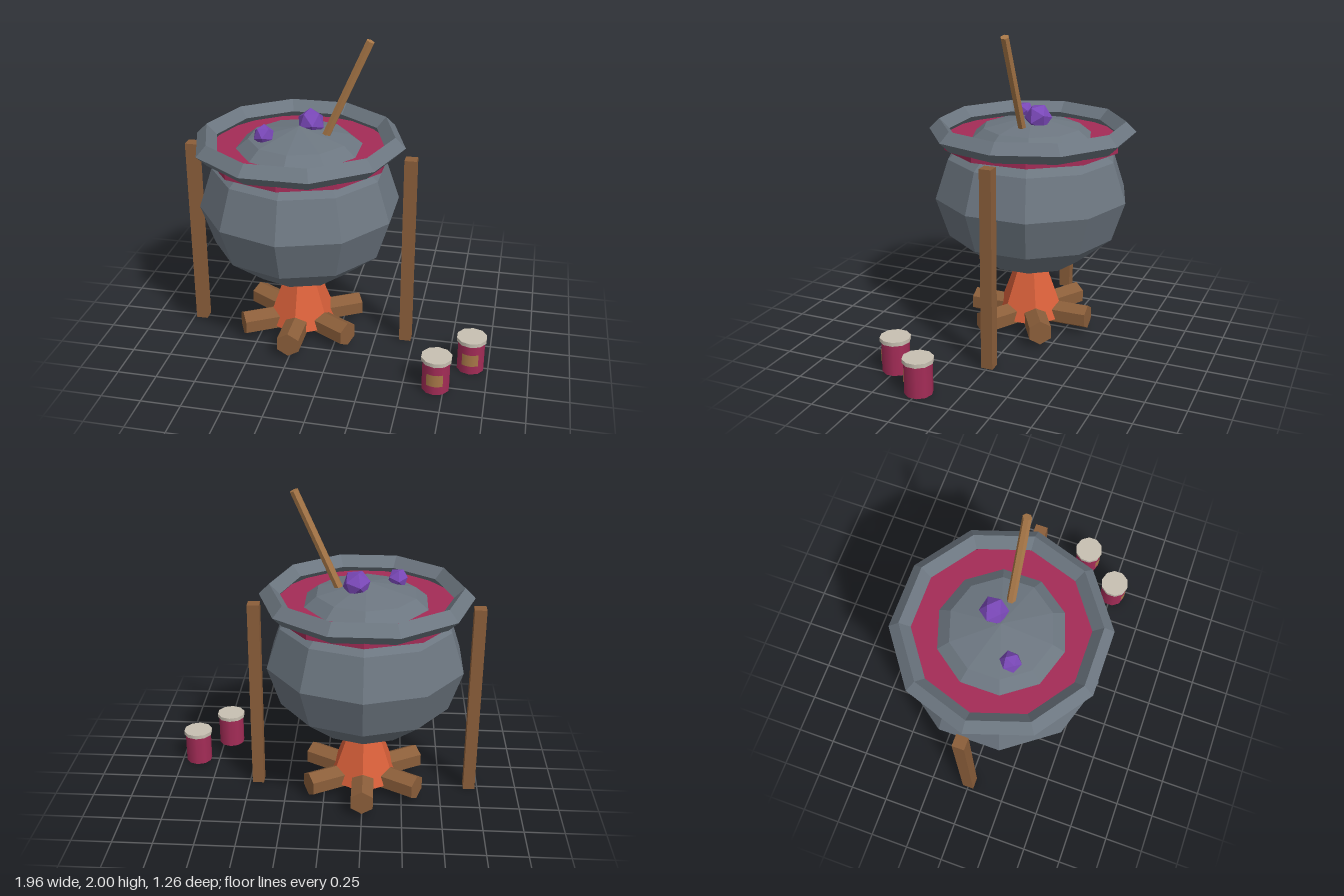
import * as THREE from 'three';

const POT_X = -0.25;

function material(name, color, flatShading = true) {
  const m = new THREE.MeshStandardMaterial({ color, flatShading });
  m.name = name;
  return m;
}

function add(parent, name, geometry, mat, x = 0, y = 0, z = 0) {
  const mesh = new THREE.Mesh(geometry, mat);
  mesh.name = name;
  mesh.position.set(x, y, z);
  parent.add(mesh);
  return mesh;
}

export function createModel() {
  const iron = material('iron', 0x6c7680);
  const jam = material('jam', 0xa42c57);
  const jamSmooth = material('jam jar', 0xa42c57, false);
  const wood = material('wood', 0x8b5e3a);
  const lightWood = material('light wood', 0xa97848);
  const flame = material('flame', 0xd9603a);
  const berry = material('berry', 0x7a48b8);
  const lidMat = material('lid', 0xc8c0b2, false);
  const labelMat = material('label', 0xa97848, false);
  labelMat.side = THREE.DoubleSide;

  const model = new THREE.Group();
  model.name = 'cauldronOverFire';

  // Cauldron: squashed faceted ball, diamond-section rim and jam disc
  const cauldron = new THREE.Group();
  cauldron.name = 'cauldron';
  cauldron.position.x = POT_X;
  model.add(cauldron);
  const ball = new THREE.SphereGeometry(0.63, 10, 6).rotateY(Math.PI / 2).scale(1, 0.81, 1);
  add(cauldron, 'potBody', ball, iron, 0, 0.92, 0);
  const ring = new THREE.TorusGeometry(0.595, 0.065, 4, 10).rotateX(Math.PI / 2);
  add(cauldron, 'potRim', ring, iron, 0, 1.335, 0);
  add(cauldron, 'jamSurface', new THREE.CylinderGeometry(0.57, 0.57, 0.06, 10), jam, 0, 1.27, 0);

  // Berries, each with a corner pointing up
  for (const [r, x, y, z, turn] of [[0.088, 0.06, 1.437, -0.065, 0.3], [0.066, -0.19, 1.405, 0.125, 0.1]]) {
    const gem = new THREE.IcosahedronGeometry(r, 0).rotateX(Math.atan(2 / (1 + Math.sqrt(5)))).rotateY(turn);
    add(cauldron, 'berry', gem, berry, x, y, z);
  }

  // Stirring stick leaning to the left
  const stick = add(cauldron, 'stirringStick', new THREE.CylinderGeometry(0.027, 0.027, 0.9, 6),
    lightWood, 0.253, 1.575, 0);
  stick.rotation.z = -0.418;

  // Side posts
  for (const side of [-1, 1]) {
    add(model, 'sidePost', new THREE.BoxGeometry(0.075, 1.27, 0.075), wood, POT_X + side * 0.695, 0.635, 0);
  }

  // Fire: three crossed logs and a flame
  const fire = new THREE.Group();
  fire.name = 'fire';
  fire.position.x = POT_X;
  model.add(fire);
  for (let i = 0; i < 3; i++) {
    const log = new THREE.CylinderGeometry(0.08, 0.08, 0.8, 6).rotateX(Math.PI / 2);
    add(fire, 'log', log, wood, 0, 0.104, 0).rotation.y = i * Math.PI / 3;
  }
  add(fire, 'flame', new THREE.ConeGeometry(0.238, 0.62, 6), flame, 0, 0.39, 0);

  // Jam jars with a lid and a curved front label
  for (const [x, z] of [[0.7, 0.505], [0.89, 0.25]]) {
    const jar = new THREE.Group();
    jar.name = 'jamJar';
    jar.position.set(x, 0, z);
    model.add(jar);
    add(jar, 'jarBody', new THREE.CylinderGeometry(0.086, 0.086, 0.2, 10), jamSmooth, 0, 0.1, 0);
    add(jar, 'jarLid', new THREE.CylinderGeometry(0.095, 0.095, 0.025, 10), lidMat, 0, 0.2125, 0);
    const label = new THREE.CylinderGeometry(0.089, 0.089, 0.08, 4, 1, true, -0.6, 1.2);
    add(jar, 'jarLabel', label, labelMat, 0, 0.1, 0);
  }

  return model;
}
